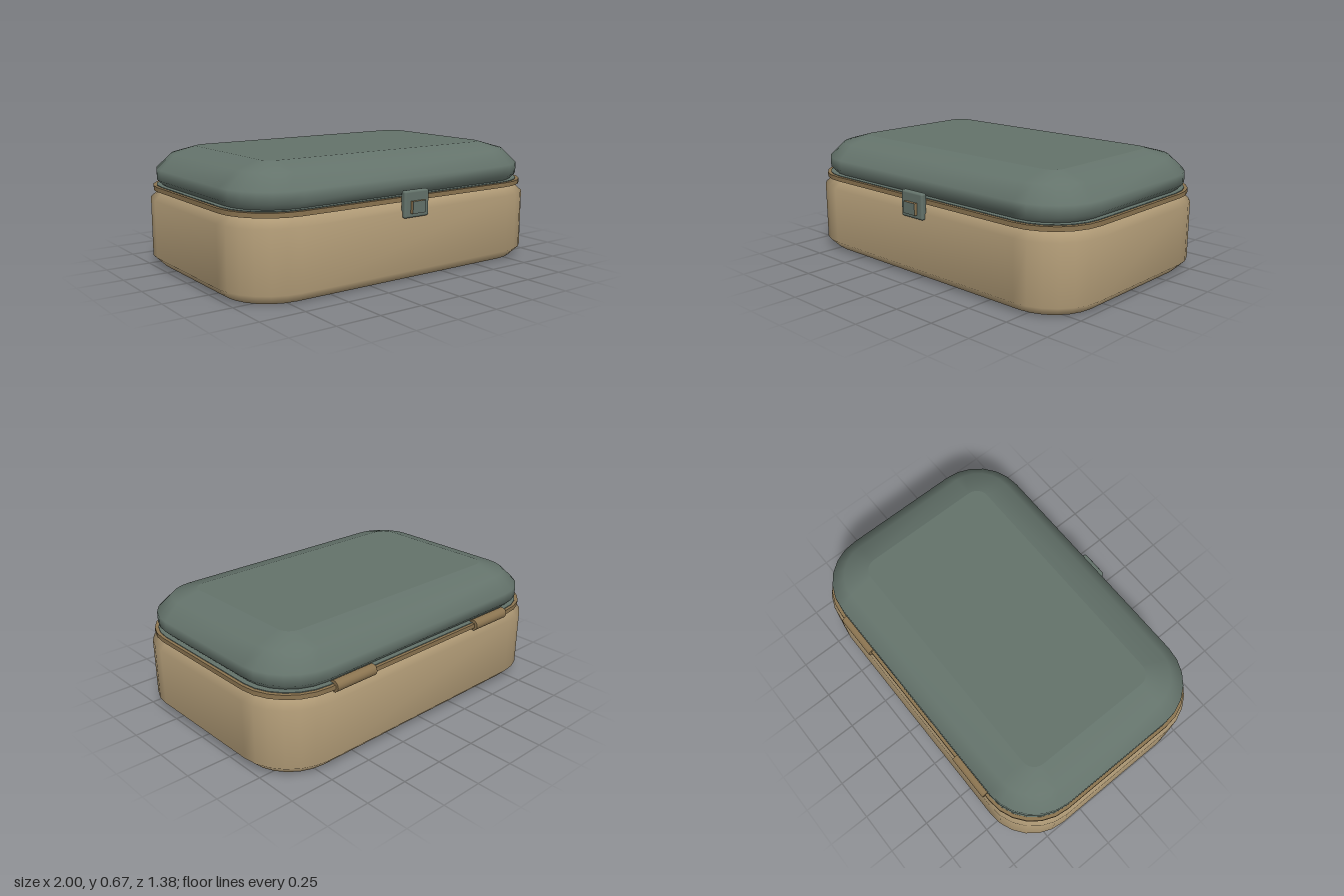
import * as THREE from 'three';
import { RoundedBoxGeometry } from 'three/addons/geometries/RoundedBoxGeometry.js';

const CZ = -0.015; // the case sits slightly behind the latch

// Rounded-rectangle outline, clockwise from above
function outline(hx, hz, r, y, steps = 6) {
  const pts = [];
  [[1, 1], [-1, 1], [-1, -1], [1, -1]].forEach(([sx, sz], q) => {
    for (let i = 0; i <= steps; i++) {
      const a = (q + i / steps) * Math.PI / 2;
      pts.push([sx * (hx - r) + r * Math.cos(a), y, CZ + sz * (hz - r) + r * Math.sin(a)]);
    }
  });
  return pts;
}

// Loft through [halfX, halfZ, cornerRadius, y] sections, with flat caps
function shell(sections) {
  const rings = sections.map(s => outline(...s));
  const n = rings[0].length;
  const pos = rings.flat(2);
  const idx = [];
  for (let k = 0; k < rings.length - 1; k++) {
    for (let j = 0; j < n; j++) {
      const a = k * n + j, b = k * n + (j + 1) % n;
      idx.push(a, a + n, b, b, a + n, b + n);
    }
  }
  for (const [ring, top] of [[rings[0], false], [rings[rings.length - 1], true]]) {
    const base = pos.length / 3;
    pos.push(...ring.flat(), 0, ring[0][1], CZ);
    for (let j = 0; j < n; j++) {
      const a = base + j, b = base + (j + 1) % n;
      idx.push(base + n, top ? b : a, top ? a : b);
    }
  }
  const g = new THREE.BufferGeometry();
  g.setAttribute('position', new THREE.Float32BufferAttribute(pos, 3));
  g.setIndex(idx);
  g.computeVertexNormals();
  return g;
}

export function createModel() {
  const model = new THREE.Group();
  model.name = 'case';
  const material = (name, color) => {
    const m = new THREE.MeshStandardMaterial({ color });
    m.name = name;
    return m;
  };
  const tan = material('tan', 0xb39d78);
  const bronze = material('bronze', 0x8c7551);
  const green = material('greyGreen', 0x64736b);

  const add = (name, geometry, mat, x = 0, y = 0, z = 0) => {
    const mesh = new THREE.Mesh(geometry, mat);
    mesh.name = name;
    mesh.position.set(x, y, z);
    model.add(mesh);
    return mesh;
  };

  // Lower tray with bevelled bottom and shoulder
  add('base', shell([
    [0.945, 0.61, 0.25, 0], [1, 0.665, 0.3, 0.055],
    [1, 0.665, 0.3, 0.38], [0.945, 0.61, 0.25, 0.432],
  ]), tan);

  // Domed lid
  add('lid', shell([
    [0.93, 0.6, 0.26, 0.45], [0.97, 0.64, 0.3, 0.49], [0.97, 0.64, 0.3, 0.55],
    [0.88, 0.56, 0.21, 0.63], [0.745, 0.415, 0.075, 0.67],
  ]), green);

  // Rim between the halves, with a slim gasket on top
  add('rim', shell([[0.985, 0.655, 0.3, 0.43], [0.985, 0.655, 0.3, 0.455]]), bronze);
  add('gasket', shell([[0.968, 0.638, 0.29, 0.454], [0.968, 0.638, 0.29, 0.459]]), green);

  // Front latch
  add('latch', new RoundedBoxGeometry(0.165, 0.145, 0.036, 2, 0.012), green, 0, 0.418, 0.653);
  add('latchButton', new THREE.BoxGeometry(0.088, 0.065, 0.02), bronze, 0, 0.403, 0.678);
  add('latchButtonFace', new THREE.BoxGeometry(0.086, 0.063, 0.003), green, 0, 0.403, 0.688);

  // Rear hinge barrels
  for (const side of [-1, 1]) {
    const barrel = new THREE.CylinderGeometry(0.031, 0.031, 0.262, 16).rotateZ(Math.PI / 2);
    add(side > 0 ? 'leftHinge' : 'rightHinge', barrel, bronze, side * 0.52, 0.443, -0.657);
  }
  return model;
}
